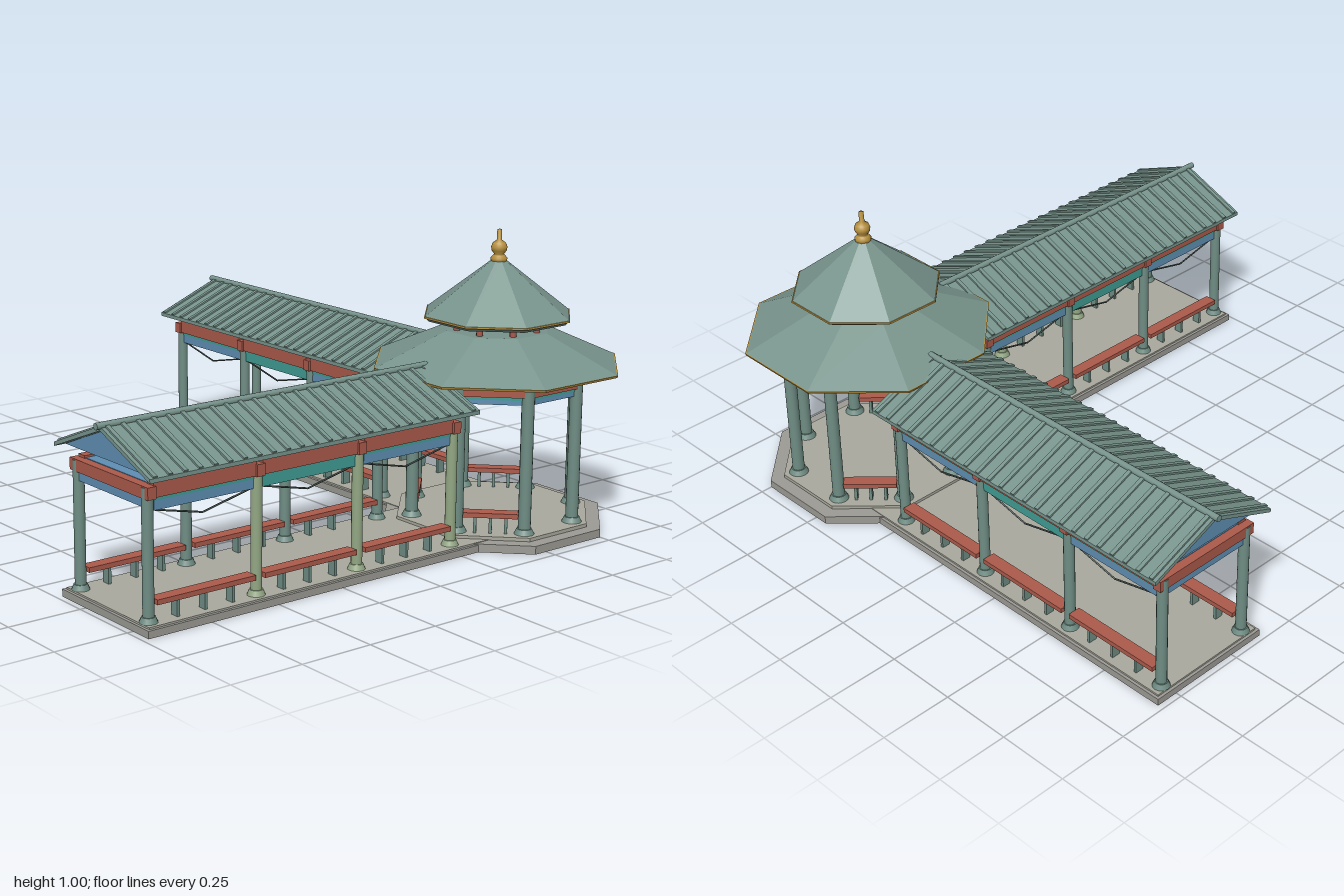
import * as THREE from 'three';

const mat = (name, color) => {
  const m = new THREE.MeshStandardMaterial({ color });
  m.name = name;
  return m;
};

export function createModel() {
  const tile = mat('roofTile', 0x78948c);
  const post = mat('postGreen', 0x6f8d84);
  const pale = mat('paleGreen', 0x93a884);
  const red = mat('redWood', 0xac5a4b);
  const blue = mat('blueTrim', 0x5f8fb4);
  const teal = mat('tealTrim', 0x3f9d94);
  const gold = mat('gold', 0xb9923f);
  const stone = mat('stone', 0x9c9b95);
  const paving = mat('paving', 0xa9a99e);
  const dark = mat('darkMetal', 0x46544f);

  const root = new THREE.Group();
  root.name = 'cornerPavilionWithGalleries';
  const add = (parent, name, geo, m, x = 0, y = 0, z = 0) => {
    const mesh = new THREE.Mesh(geo, m);
    mesh.name = name;
    mesh.position.set(x, y, z);
    parent.add(mesh);
    return mesh;
  };
  const box = (p, name, m, w, h, d, x, y, z) => add(p, name, new THREE.BoxGeometry(w, h, d), m, x, y, z);

  // Octagonal frustum with flat faces, measured by apothem
  const APO = Math.cos(Math.PI / 8);
  const octagon = (p, name, m, top, bottom, y0, y1, open = false) => {
    const g = new THREE.CylinderGeometry(top / APO, bottom / APO, y1 - y0, 8, 1, open)
      .rotateY(Math.PI / 8).toNonIndexed();
    g.computeVertexNormals();
    return add(p, name, g, m, 0, (y0 + y1) / 2, 0);
  };

  // Round column on a stone-like foot
  const column = (p, m, r, x, z, y0, y1) => {
    add(p, 'column', new THREE.CylinderGeometry(r, r, y1 - y0, 16), m, x, (y0 + y1) / 2, z);
    add(p, 'columnFoot', new THREE.CylinderGeometry(r * 1.2, r * 1.6, 0.018, 16), m, x, y0 + 0.009, z);
  };

  // Seat along local x with three legs
  const bench = (p, length, x, y, z) => {
    const b = new THREE.Group();
    b.name = 'bench';
    b.position.set(x, y, z);
    box(b, 'seat', red, length, 0.016, 0.045, 0, 0.062, 0);
    for (const k of [-0.28, 0, 0.28]) box(b, 'benchLeg', post, 0.01, 0.054, 0.03, k * length, 0.027, 0);
    p.add(b);
    return b;
  };

  // Extrude a profile given as [z, y] along x
  const alongX = (pts, x0, x1) => new THREE.ExtrudeGeometry(
    new THREE.Shape(pts.map(([z, y]) => new THREE.Vector2(z, y))),
    { depth: x1 - x0, bevelEnabled: false }).rotateY(Math.PI / 2).translate(x0, 0, 0);

  // Covered walk running along -x from the pavilion
  function gallery(name, paleRow) {
    const g = new THREE.Group();
    g.name = name;
    const first = -1.545, bay = 0.395;
    box(g, 'base', stone, 1.38, 0.024, 0.46, -0.89, 0.012, 0);
    box(g, 'walkway', paving, 1.36, 0.006, 0.44, -0.89, 0.027, 0);

    for (let i = 0; i < 4; i++) {
      const x = first + i * bay;
      for (const s of [-1, 1]) column(g, paleRow && s > 0 && i > 0 ? pale : post, 0.018, x, s * 0.18, 0.03, 0.44);
      box(g, 'crossBeam', red, 0.03, 0.038, 0.41, x, 0.425, 0);
      box(g, 'crossTrim', blue, 0.018, 0.026, 0.34, x, 0.391, 0);
    }
    for (let i = 0; i < 3; i++) {
      const x = first + (i + 0.5) * bay;
      const main = i === 1 ? teal : blue, other = i === 1 ? blue : teal;
      for (const s of [-1, 1]) {
        const z = s * 0.18;
        box(g, 'sideBeam', red, 0.372, 0.045, 0.034, x, 0.43, z);
        box(g, 'sideTrimUpper', teal, 0.36, 0.01, 0.02, x, 0.402, z);
        box(g, 'sideTrim', main, 0.36, 0.03, 0.016, x, 0.382, z);
        bench(g, 0.36, x, 0.03, z);
        // Hanging V rods
        for (const e of [-1, 1]) {
          const rod = new THREE.LineCurve3(
            new THREE.Vector3(x + e * 0.175, 0.367, z), new THREE.Vector3(x, 0.327, z));
          add(g, 'hangingRod', new THREE.TubeGeometry(rod, 1, 0.003, 6), dark);
        }
      }
      // Ceiling panel with a diamond medallion
      box(g, 'ceiling', main, 0.365, 0.008, 0.33, x, 0.442, 0);
      box(g, 'ceilingBorder', other, 0.365, 0.008, 0.02, x, 0.434, 0.14);
      box(g, 'ceilingBorder', other, 0.365, 0.008, 0.02, x, 0.434, -0.14);
      add(g, 'ceilingMedallion', new THREE.CylinderGeometry(0.045, 0.045, 0.006, 4), gold, x, 0.436, 0);
    }

    // Gabled roof with tile ribs
    const x0 = -1.585, x1 = -0.31;
    add(g, 'roof', alongX([[-0.252, 0.472], [0, 0.573], [0.252, 0.472], [0.252, 0.485], [0, 0.587], [-0.252, 0.485]], x0, x1), tile);
    for (const x of [-1.555, -0.36]) {
      add(g, 'gable', alongX([[-0.235, 0.478], [0.235, 0.478], [0, 0.574]], x, x + 0.008), blue);
    }
    const slope = Math.atan2(0.102, 0.252);
    for (let i = 0; i < 24; i++) {
      for (const s of [-1, 1]) {
        box(g, 'tileRib', tile, 0.014, 0.008, 0.27, x0 + 0.02 + i * 0.0535, 0.538, s * 0.126).rotation.x = s * slope;
      }
    }
    add(g, 'ridge', new THREE.CylinderGeometry(0.011, 0.011, 1.285, 10).rotateZ(Math.PI / 2), tile, -0.9575, 0.588, 0);
    root.add(g);
    return g;
  }
  gallery('sideGallery', true);
  gallery('rearGallery', false).rotation.y = -Math.PI / 2;

  // Pavilion base and columns
  const pav = new THREE.Group();
  pav.name = 'pavilion';
  root.add(pav);
  octagon(pav, 'baseStep', stone, 0.36, 0.36, 0, 0.028);
  octagon(pav, 'floorStep', paving, 0.315, 0.315, 0.028, 0.04);
  const R = 0.288;
  for (let i = 0; i < 8; i++) {
    const a = (i + 0.5) * Math.PI / 4;
    column(pav, post, 0.021, R * Math.sin(a), R * Math.cos(a), 0.04, 0.545);
    // Beams and trims along each side
    const side = new THREE.Group();
    side.name = 'pavilionSide';
    side.rotation.y = i * Math.PI / 4;
    pav.add(side);
    box(side, 'eaveBeam', red, 0.2, 0.042, 0.034, 0, 0.52, R * APO);
    box(side, 'eaveTrimUpper', teal, 0.19, 0.01, 0.02, 0, 0.494, R * APO);
    box(side, 'eaveTrim', blue, 0.19, 0.016, 0.016, 0, 0.481, R * APO);
    if (i === 3 || i === 5 || i === 7) bench(side, 0.18, 0, 0.04, R * APO);
    // Short posts carrying the upper roof
    add(pav, 'lanternPost', new THREE.CylinderGeometry(0.011, 0.011, 0.08, 10), red,
      0.142 * Math.sin(a), 0.68, 0.142 * Math.cos(a));
  }

  // Two roof tiers with gilded eaves
  octagon(pav, 'lowerSoffit', tile, 0.39, 0.31, 0.535, 0.549);
  octagon(pav, 'lowerEave', gold, 0.397, 0.394, 0.548, 0.556);
  octagon(pav, 'lowerRoof', tile, 0.165, 0.393, 0.556, 0.668);
  octagon(pav, 'upperSoffit', tile, 0.233, 0.222, 0.702, 0.714);
  octagon(pav, 'upperEave', gold, 0.238, 0.238, 0.713, 0.719);
  octagon(pav, 'upperRoof', tile, 0.018, 0.235, 0.719, 0.902);

  // Finial
  const profile = [[0, 0.89], [0.026, 0.89], [0.028, 0.905], [0.02, 0.914], [0.016, 0.918], [0.025, 0.93],
    [0.027, 0.942], [0.022, 0.955], [0.009, 0.965], [0.008, 1.0], [0, 1.002]];
  add(pav, 'finial', new THREE.LatheGeometry(profile.map(([x, y]) => new THREE.Vector2(x, y)), 20), gold);

  root.position.set(0.6, 0, 0.6);
  const model = new THREE.Group();
  model.name = 'gardenPavilion';
  model.add(root);
  return model;
}
